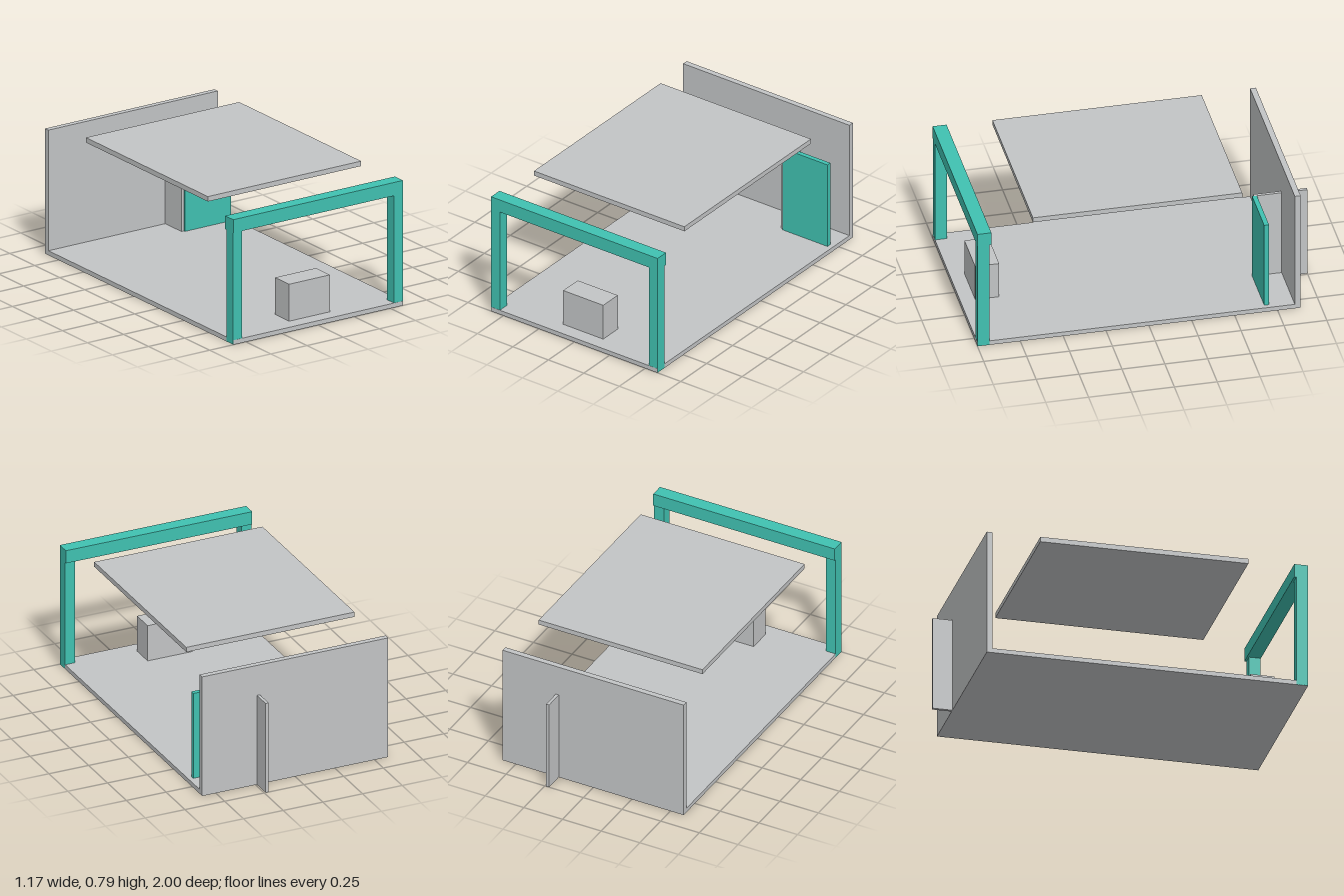
import * as THREE from 'three';

export function createModel() {
  const model = new THREE.Group();
  model.name = 'openRoom';

  const material = (name, color) => {
    const m = new THREE.MeshStandardMaterial({ color });
    m.name = name;
    return m;
  };
  const grey = material('lightGrey', 0xc2c4c5);
  const teal = material('teal', 0x40c1b1);

  // Box given by its extents on each axis
  const block = (name, mat, [x0, x1], [y0, y1], [z0, z1]) => {
    const mesh = new THREE.Mesh(new THREE.BoxGeometry(x1 - x0, y1 - y0, z1 - z0), mat);
    mesh.position.set((x0 + x1) / 2, (y0 + y1) / 2, (z0 + z1) / 2);
    mesh.name = name;
    model.add(mesh);
  };

  // Shell: floor, back wall and floating roof
  block('floor', grey, [-0.586, 0.586], [0, 0.027], [-0.85, 1]);
  block('backWall', grey, [-0.586, 0.586], [0, 0.755], [-0.884, -0.85]);
  block('roofPanel', grey, [-0.53, 0.53], [0.755, 0.785], [-0.556, 0.664]);

  // Front frame: two posts carrying a beam
  for (const [name, x0, x1] of [['leftPost', 0.525, 0.587], ['rightPost', -0.587, -0.525]]) {
    block(name, teal, [x0, x1], [0.001, 0.675], [0.931, 0.999]);
  }
  block('frontBeam', teal, [-0.587, 0.587], [0.675, 0.755], [0.919, 1]);

  // Low block near the front
  block('counter', grey, [-0.141, 0.141], [0.027, 0.25], [0.774, 0.914]);

  // Teal panel and the fin that runs through the back wall
  block('doorPanel', teal, [0.24, 0.557], [0.001, 0.565], [-0.706, -0.678]);
  block('partitionFin', grey, [0.222, 0.241], [0, 0.565], [-1, -0.688]);

  return model;
}
